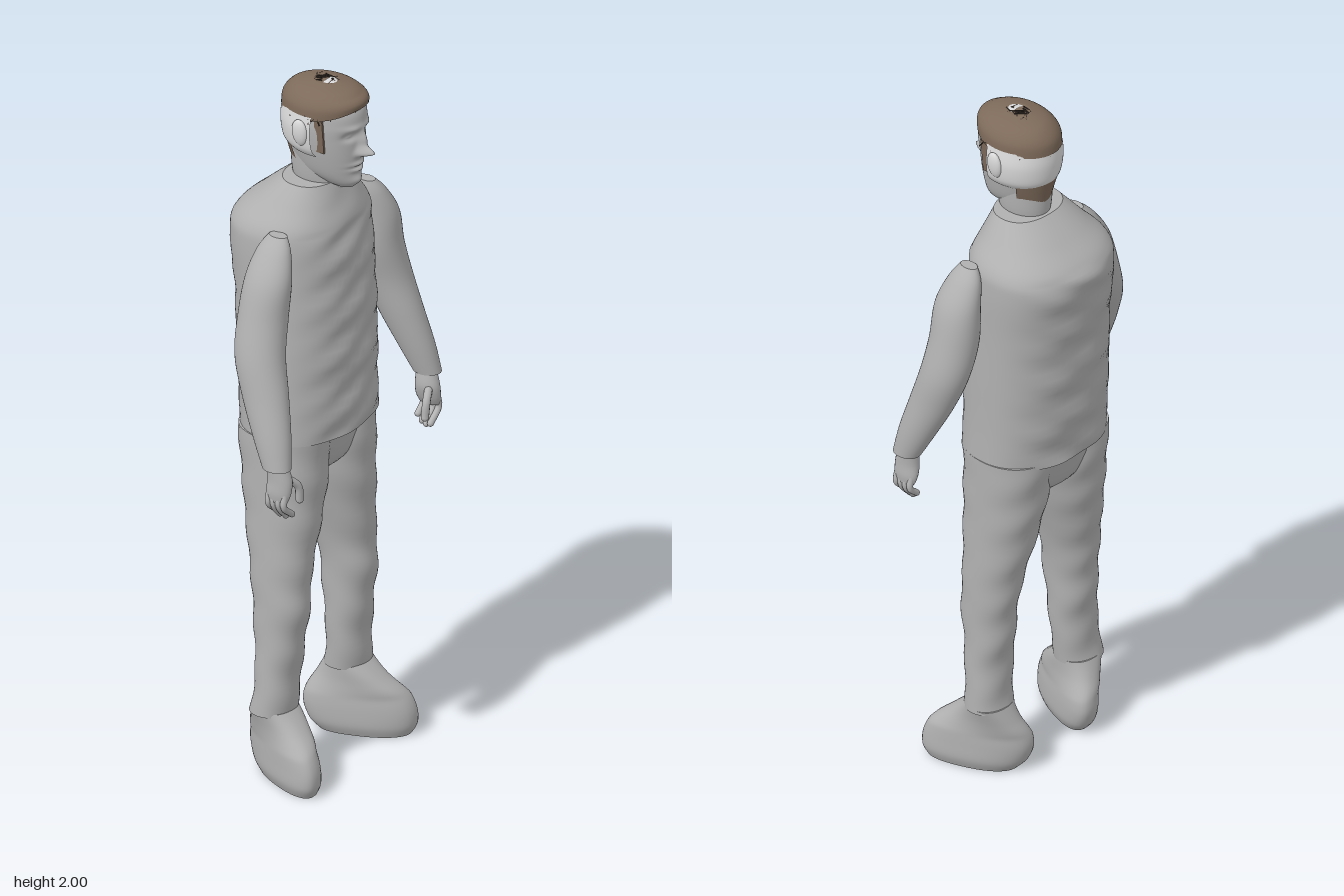
import * as THREE from 'three';
import { mergeGeometries } from 'three/addons/utils/BufferGeometryUtils.js';

const mat = (name, color, side = THREE.FrontSide) => {
  const m = new THREE.MeshStandardMaterial({ color, side });
  m.name = name;
  return m;
};

// Catmull-Rom blend of section rows
function sample(rows, t) {
  const n = rows.length - 1, i = Math.min(Math.floor(t * n), n - 1), f = t * n - i;
  const at = k => rows[Math.max(0, Math.min(n, k))];
  return rows[0].map((_, c) => {
    const [a, b, d, e] = [at(i - 1)[c], at(i)[c], at(i + 1)[c], at(i + 2)[c]];
    return 0.5 * (2 * b + (d - a) * f + (2 * a - 5 * b + 4 * d - e) * f * f + (3 * b - a - 3 * d + e) * f * f * f);
  });
}

// Stacked horizontal sections [y, centre x, half width, front z, back z]
function loft(rows, { seg = 40, steps = 6, power = 1, from = 0, to = Math.PI * 2, move = null } = {}) {
  const closed = to - from > 6.28, n = (rows.length - 1) * steps, cols = closed ? seg : seg + 1;
  const pos = [], idx = [], v = new THREE.Vector3();
  const bend = q => Math.sign(q) * Math.abs(q) ** power;
  for (let i = 0; i <= n; i++) {
    const [y, cx, rx, zf, zb] = sample(rows, i / n);
    for (let j = 0; j < cols; j++) {
      const a = from + (to - from) * j / seg;
      v.set(cx + rx * bend(Math.cos(a)), y, (zf + zb) / 2 + (zf - zb) / 2 * bend(Math.sin(a)));
      if (move) move(v, a, cx);
      pos.push(v.x, v.y, v.z);
    }
  }
  for (let i = 0; i < n; i++) for (let j = 0; j < seg; j++) {
    const k = (j + 1) % cols, a = i * cols + j, b = i * cols + k;
    idx.push(a, a + cols, b, b, a + cols, b + cols);
  }
  if (closed) for (const [row, top] of [[0, false], [n, true]]) {
    const base = pos.length / 3, [y, cx, , zf, zb] = rows[top ? rows.length - 1 : 0];
    for (let j = 0; j < cols; j++) pos.push(...pos.slice((row * cols + j) * 3, (row * cols + j) * 3 + 3));
    pos.push(cx, y, (zf + zb) / 2);
    for (let j = 0; j < cols; j++) {
      const p = base + j, q = base + (j + 1) % cols;
      idx.push(base + cols, top ? q : p, top ? p : q);
    }
  }
  const g = new THREE.BufferGeometry();
  g.setAttribute('position', new THREE.Float32BufferAttribute(pos, 3));
  g.setIndex(idx);
  g.computeVertexNormals();
  return g;
}

export function createModel() {
  const root = new THREE.Group();
  root.name = 'standingMan';
  const cloth = mat('clothGrey', 0xb0b0b0), skin = mat('skinGrey', 0xb4b4b4);
  const pale = mat('paleBand', 0xdadada, THREE.DoubleSide);
  const brown = mat('hairBrown', 0x7d6a5a, THREE.DoubleSide), dark = mat('strandDark', 0x3a302a);
  const add = (name, geo, m, parent = root) => {
    const mesh = new THREE.Mesh(geo, m);
    mesh.name = name;
    parent.add(mesh);
    return mesh;
  };

  // Tunic with soft creases on chest and back
  const crease = (v, a) => {
    const w = Math.abs(Math.sin(a)) ** 3 * (v.y < 1.6 ? 1 : 0.2);
    v.z += 0.004 * w * (Math.sin(v.y * 43 + v.x * 9) + Math.sin(v.y * 71 - v.x * 31));
  };
  add('tunic', loft([
    [0.99, 0.01, 0.208, 0.155, -0.155], [1.1, 0.01, 0.205, 0.155, -0.165], [1.25, 0.012, 0.203, 0.155, -0.175],
    [1.4, 0.015, 0.2, 0.148, -0.185], [1.54, 0.017, 0.2, 0.138, -0.203], [1.6, 0.018, 0.19, 0.13, -0.19],
    [1.655, 0.018, 0.145, 0.11, -0.13], [1.712, 0.018, 0.1, 0.09, -0.06],
  ], { seg: 72, power: 0.88, move: crease }), cloth);

  // Hips
  add('hips', loft([
    [0.85, 0.01, 0.05, 0.06, -0.06], [0.89, 0.01, 0.14, 0.1, -0.11], [1.0, 0.01, 0.207, 0.125, -0.14],
  ], { power: 0.9 }), cloth);

  for (const s of [1, -1]) {
    const side = s > 0 ? 'left' : 'right';

    // Trouser leg with gentle folds
    const leg = [
      [0.195, 0.168, 0.067, 0.075, -0.042], [0.3, 0.16, 0.068, 0.08, -0.032], [0.4, 0.155, 0.067, 0.09, -0.042],
      [0.5, 0.152, 0.068, 0.104, -0.052], [0.6, 0.144, 0.074, 0.102, -0.067], [0.76, 0.12, 0.092, 0.113, -0.1],
      [0.88, 0.107, 0.103, 0.118, -0.12], [1.0, 0.105, 0.104, 0.12, -0.135],
    ].map(([y, d, ...r]) => [y, s * d + (y - 0.2) * 0.02 - 0.006, ...r]);
    add(side + 'Leg', loft(leg, {
      power: 0.93, move: v => { v.z += 0.003 * Math.sin(v.y * 48 + v.x * 20); },
    }), cloth);

    // Boot with the toe turned outward
    const boot = [
      [0, 0.16, 0.052, 0.18, -0.045], [0.03, 0.16, 0.063, 0.193, -0.07], [0.075, 0.16, 0.063, 0.19, -0.085],
      [0.12, 0.162, 0.06, 0.168, -0.08], [0.16, 0.165, 0.059, 0.125, -0.062], [0.205, 0.168, 0.063, 0.075, -0.042],
    ].map(([y, d, ...r]) => [y, s * d - 0.004, ...r]);
    add(side + 'Boot', loft(boot, {
      power: 0.85, move: v => { v.x += s * (v.z - 0.03) * 0.38 * Math.min(1, (0.21 - v.y) / 0.1); },
    }), cloth);

    // Sleeve
    const sleeve = [
      [1.02, 0.34, 0.034, 0.185, 0.103], [1.1, 0.325, 0.045, 0.17, 0.06], [1.2, 0.305, 0.055, 0.143, 0.01],
      [1.3, 0.287, 0.063, 0.115, -0.026], [1.4, 0.261, 0.065, 0.102, -0.036], [1.5, 0.243, 0.055, 0.1, -0.032],
      [1.57, 0.217, 0.037, 0.08, -0.018], [1.608, 0.199, 0.017, 0.058, 0.004],
    ].map(([y, d, ...r]) => [y, s * d + (y - 1) * 0.04, ...r]);
    add(side + 'Sleeve', loft(sleeve), cloth);

    // Hand: palm, four fingers and thumb
    const hand = new THREE.Group();
    hand.name = side + 'Hand';
    root.add(hand);
    add('palm', loft([
      [0.925, s * 0.343, 0.014, 0.18, 0.118], [0.95, s * 0.338, 0.023, 0.187, 0.112],
      [0.985, s * 0.333, 0.028, 0.186, 0.115], [1.025, s * 0.336, 0.027, 0.172, 0.118],
    ], { seg: 24 }), skin, hand);
    const finger = (name, r, pts) => {
      const p = pts.map(([x, y, z]) => new THREE.Vector3(s * x, y, z));
      add(name, new THREE.TubeGeometry(new THREE.CatmullRomCurve3(p), 10, r, 10), skin, hand);
      add(name + 'Tip', new THREE.SphereGeometry(r, 10, 8), skin, hand).position.copy(p[p.length - 1]);
    };
    for (let k = 0; k < 4; k++) {
      const z = 0.125 + k * 0.0165, drop = [0.89, 0.876, 0.873, 0.88][k];
      finger('finger', 0.009, [[0.345, 0.95, z], [0.35, 0.915, z], [0.325 - k * 0.004, drop, z]]);
    }
    finger('thumb', 0.011, [[0.32, 0.985, 0.165], [0.29, 0.955, 0.178], [0.283, 0.912, 0.178]]);
  }

  // Neck
  const cx = 0.02;
  add('neck', loft([
    [1.66, cx, 0.045, 0.098, -0.04], [1.72, cx, 0.062, 0.1, -0.052], [1.8, cx, 0.07, 0.1, -0.055],
  ]), skin);

  // Head, with brow, eye sockets, nose and lips pushed out of the front
  const bump = (x, y, w, h) => Math.exp(-((x / w) ** 2) - (y / h) ** 2);
  const face = (v, a) => {
    if (Math.sin(a) < 0.2) return;
    const x = v.x - cx, y = v.y;
    v.z += 0.04 * bump(x, y - 1.818, 0.012, 0.014) + 0.02 * bump(x, y - 1.85, 0.01, 0.028)
      + 0.012 * bump(Math.abs(x) - 0.012, y - 1.812, 0.009, 0.009)
      - 0.014 * bump(Math.abs(x) - 0.034, y - 1.866, 0.018, 0.011)
      + 0.007 * bump(Math.abs(x) - 0.034, y - 1.866, 0.01, 0.005)
      + 0.006 * bump(Math.abs(x) - 0.03, y - 1.89, 0.024, 0.008)
      + 0.008 * bump(x, y - 1.778, 0.026, 0.006) + 0.008 * bump(x, y - 1.76, 0.022, 0.006)
      - 0.005 * bump(x, y - 1.769, 0.028, 0.003) + 0.008 * bump(x, y - 1.727, 0.02, 0.014);
  };
  add('head', loft([
    [1.702, cx, 0.022, 0.135, 0.07], [1.72, cx, 0.044, 0.148, 0.02], [1.75, cx, 0.065, 0.152, -0.035],
    [1.8, cx, 0.08, 0.157, -0.058], [1.85, cx, 0.089, 0.16, -0.07], [1.9, cx, 0.092, 0.164, -0.075],
    [1.945, cx, 0.085, 0.152, -0.066], [1.985, cx, 0.045, 0.1, -0.02],
  ], { seg: 120, steps: 12, move: face }), skin);

  // Pale band round the sides and back, with ears
  add('headBand', loft([
    [1.805, cx, 0.085, 0.16, -0.06], [1.83, cx, 0.1, 0.16, -0.074],
    [1.88, cx, 0.106, 0.16, -0.08], [1.925, cx, 0.1, 0.16, -0.076],
  ], { from: 2.92, to: 6.5 }), pale);
  for (const s of [1, -1]) {
    const ear = add(s > 0 ? 'leftEar' : 'rightEar', new THREE.SphereGeometry(1, 20, 14), pale);
    ear.scale.set(0.013, 0.04, 0.024);
    ear.position.set(cx + s * 0.103, 1.875, 0.035);
    ear.rotation.z = -s * 0.12;
  }

  // Hair: cap, sideburns and nape
  add('hairCap', loft([
    [1.915, cx, 0.1, 0.166, -0.08], [1.945, cx, 0.097, 0.168, -0.077], [1.968, cx, 0.084, 0.158, -0.062],
    [1.985, cx, 0.062, 0.132, -0.036], [1.995, cx, 0.03, 0.085, 0.01],
  ], { move: (v, a) => { v.y += 0.03 * Math.max(0, Math.sin(a)) ** 2 * Math.max(0, 1 - (v.y - 1.915) / 0.06); } }), brown);
  add('napeHair', loft([
    [1.745, cx, 0.064, 0.16, -0.052], [1.78, cx, 0.078, 0.16, -0.06], [1.825, cx, 0.09, 0.16, -0.071],
  ], { from: 3.7, to: 5.72 }), brown);
  for (const s of [1, -1]) {
    const burn = add('sideburn', new THREE.BoxGeometry(0.006, 0.1, 0.026), brown);
    burn.position.set(cx + s * 0.084, 1.87, 0.085);
    burn.rotation.z = -s * 0.1;
  }

  // Pale crown patch with a straight front edge
  const crown = new THREE.SphereGeometry(1, 32, 8, Math.PI, Math.PI, 0, 0.9);
  crown.scale(0.09, 0.105, 0.115);
  const patch = add('crownPatch', crown, pale);
  patch.position.set(cx, 1.893, 0.052);
  patch.rotation.y = Math.PI;

  // Loose strands scattered over the hair
  let seed = 7;
  const rand = () => (seed = (seed * 16807) % 2147483647) / 2147483647;
  const strands = [], o = new THREE.Object3D(), n = new THREE.Vector3();
  while (strands.length < 210) {
    const a = rand() * Math.PI * 2, up = rand(), r = Math.sqrt(1 - up * up);
    const front = Math.sin(a) > 0.4;
    if (up < (front ? 0.45 : 0.22)) continue;
    n.set(r * Math.cos(a), up, r * Math.sin(a));
    o.position.set(cx + n.x * 0.102, 1.891 + n.y * 0.106, 0.045 + n.z * 0.123);
    o.lookAt(o.position.clone().add(n));
    o.rotateZ(rand() * Math.PI);
    o.updateMatrix();
    strands.push(new THREE.BoxGeometry(0.0025, 0.02 + rand() * 0.025, 0.003).applyMatrix4(o.matrix));
  }
  add('hairStrands', mergeGeometries(strands), dark);
  return root;
}
